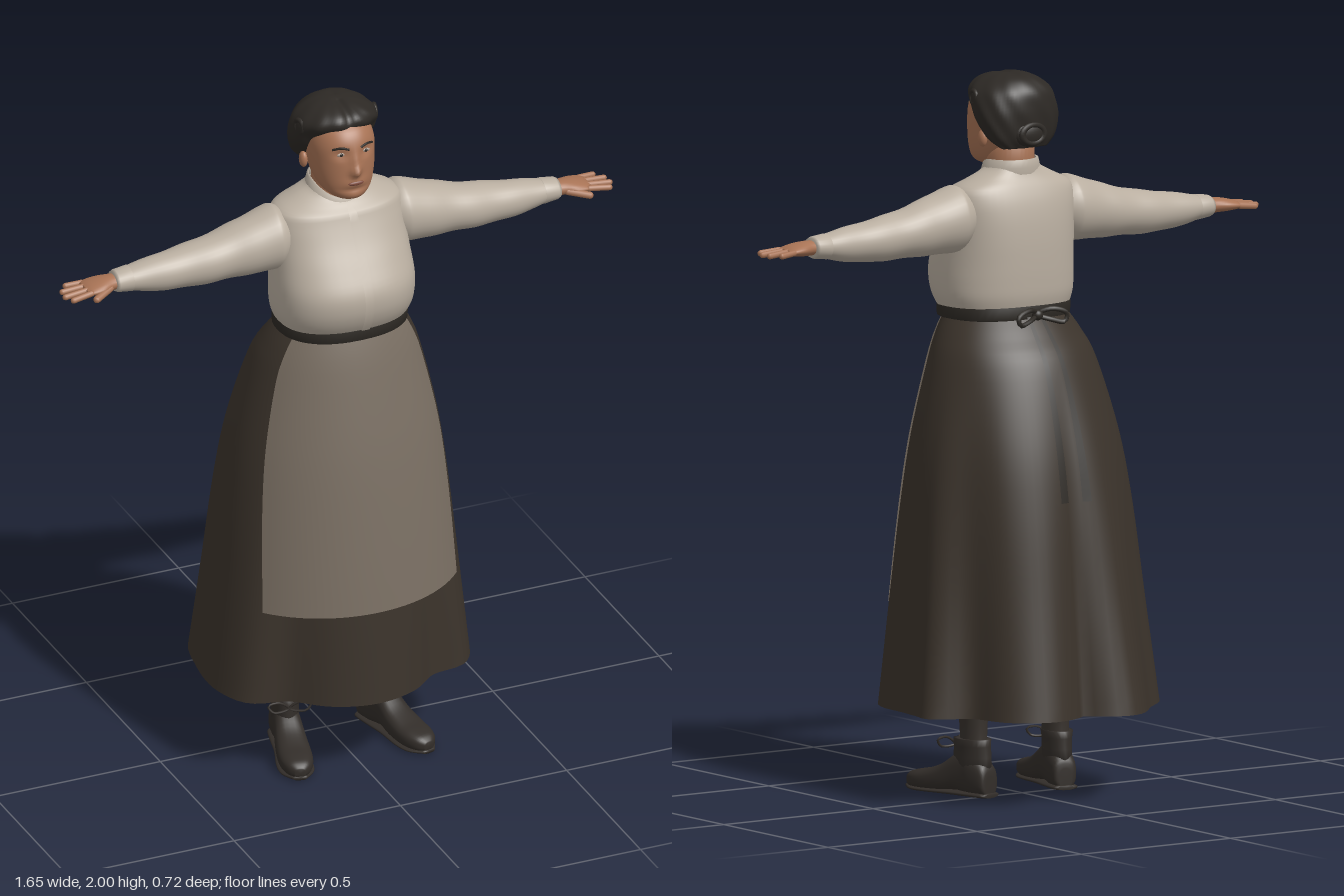
import * as THREE from 'three';

const { sin, cos, abs, sign, PI, exp, max, min } = Math;
const V = (x, y, z) => new THREE.Vector3(x, y, z);
const mat = (name, color, double) => {
  const m = new THREE.MeshStandardMaterial({ color, side: double ? THREE.DoubleSide : THREE.FrontSide });
  m.name = name;
  return m;
};
const bump = (d, w) => exp(-(d * d) / (w * w));
const pw = (s, n) => sign(s) * abs(s) ** (2 / n);

// Catmull-Rom subdivision of a list of number rows
function smooth(rows, k = 4) {
  const out = [], at = i => rows[max(0, min(rows.length - 1, i))];
  for (let i = 0; i < rows.length - 1; i++)
    for (let j = 0; j < k; j++) {
      const t = j / k;
      out.push(rows[i].map((b, c) => {
        const a = at(i - 1)[c], d = at(i + 1)[c], e = at(i + 2)[c];
        return b + 0.5 * t * (d - a + t * (2 * a - 5 * b + 4 * d - e + t * (3 * (b - d) + e - a)));
      }));
    }
  out.push(rows[rows.length - 1]);
  return out;
}
// linear lookup by the first column
function rowAt(rows, y) {
  let i = 0;
  while (i < rows.length - 2 && rows[i + 1][0] < y) i++;
  const a = rows[i], b = rows[i + 1], t = max(0, min(1, (y - a[0]) / (b[0] - a[0])));
  return a.map((v, c) => v + (b[c] - v) * t);
}
// surface through rows of points
function grid(rows, closed, caps) {
  const n = rows[0].length, pts = rows.flat(), idx = [];
  for (let j = 0; j < rows.length - 1; j++)
    for (let i = 0; i < (closed ? n : n - 1); i++) {
      const a = j * n + i, b = j * n + (i + 1) % n;
      idx.push(a, b, b + n, a, b + n, a + n);
    }
  if (caps) [0, rows.length - 1].forEach((j, e) => {
    const c = pts.length, mid = V(0, 0, 0);
    rows[j].forEach(p => mid.addScaledVector(p, 1 / n));
    pts.push(mid);
    for (let i = 0; i < n; i++) {
      const a = j * n + i, b = j * n + (i + 1) % n;
      e ? idx.push(a, b, c) : idx.push(b, a, c);
    }
  });
  const g = new THREE.BufferGeometry().setFromPoints(pts);
  g.setIndex(idx);
  g.computeVertexNormals();
  return g;
}
const loft = (rows, place, n = 32, caps = true) =>
  grid(rows.map(r => Array.from({ length: n }, (_, i) => place(r, i / n * 2 * PI))), true, caps);
const strip = (y0, y1, aMin, aMax, place, nv = 24, nu = 24) =>
  grid(Array.from({ length: nv + 1 }, (_, j) => {
    const y = y0 + (y1 - y0) * j / nv, a = aMin(y), b = aMax(y);
    return Array.from({ length: nu + 1 }, (_, i) => place(y, a + (b - a) * i / nu));
  }), false, false);
// section rules: upright [y, halfWidth, zFront, zBack], sideways [x, ry, rz, cy, cz], lengthwise [z, halfWidth, bottom, top]
const upright = (r, a, n = 2) => V(r[1] * pw(sin(a), n), r[0], (r[2] + r[3]) / 2 + (r[2] - r[3]) / 2 * pw(cos(a), n));
const sideways = (r, a) => V(r[0], r[3] + r[1] * cos(a), r[4] + r[2] * sin(a));
const lengthwise = (r, a) => V(r[1] * pw(cos(a), 2.6), (r[2] + r[3]) / 2 + (r[3] - r[2]) / 2 * pw(sin(a), 2.6), r[0]);
const ball = (x, y, z, rx, ry, rz) => new THREE.SphereGeometry(1, 24, 16).scale(rx, ry, rz).translate(x, y, z);
const tube = (pts, r, closed = false, n = 20) =>
  new THREE.TubeGeometry(new THREE.CatmullRomCurve3(pts.map(p => V(...p)), closed), n, r, 6, closed);
function mirror(geo) {
  const g = geo.clone().scale(-1, 1, 1), ix = g.index.array;
  for (let i = 0; i < ix.length; i += 3) [ix[i], ix[i + 1]] = [ix[i + 1], ix[i]];
  return g;
}

export function createModel() {
  const root = new THREE.Group();
  root.name = 'womanInApron';
  const skin = mat('skin', 0xa87355), lip = mat('lips', 0x7d4a3c), white = mat('eyeWhite', 0xa8978a);
  const hair = mat('hair', 0x2d2925), blouse = mat('blouse', 0xb9aea0, true), apron = mat('apron', 0x7a6f63, true);
  const cloth = mat('skirt', 0x3b332b, true), belt = mat('belt', 0x2d2924, true);
  const leather = mat('shoeLeather', 0x322d29), stocking = mat('stocking', 0x38322d);
  const add = (name, geo, m) => {
    const mesh = new THREE.Mesh(geo, m);
    mesh.name = name;
    root.add(mesh);
  };
  const pair = (name, geo, m) => {
    add(name + 'Left', geo, m);
    add(name + 'Right', mirror(geo), m);
  };

  // skirt: ellipse at the waist that breaks into folds at the hem [angle, radius factor]
  const folds = [[-3.14, .82], [-2.84, 1.05], [-2.44, .965], [-2.09, .99], [-1.68, .96], [-1.21, 1.02], [-.945, 1.025],
    [-.69, .89], [-.33, .96], [0, .995], [.33, .96], [.61, .9], [.85, 1.03], [1.1, 1.02], [1.4, .95], [1.65, .965],
    [1.85, 1.01], [2.14, .84], [2.49, .99], [2.82, 1], [3.14, .82]];
  const foldCurve = smooth(folds, 5);
  const skirtRows = smooth([[.25, .392, .362, -.362], [.53, .36, .342, -.315], [.8, .33, .315, -.27], [1, .298, .29, -.225],
    [1.2, .245, .255, -.155], [1.28, .212, .238, -.1], [1.335, .178, .222, -.055]], 5);
  const skirtPoint = (r, a, out = 1, fold = true) => {
    const wrapped = a > PI ? a - 2 * PI : a, w = max(0, min(1, (1.2 - r[0]) / .95));
    const f = out * (fold ? 1 + (rowAt(foldCurve, wrapped)[1] - 1) * w : 1), p = upright(r, a), cz = (r[2] + r[3]) / 2;
    return V(p.x * f, p.y, cz + (p.z - cz) * f);
  };
  add('skirt', loft(skirtRows, (r, a) => skirtPoint(r, a), 96, false), cloth);

  // apron panel hanging over the front
  const apronEdge = y => .9 + .2 * (y - .53) / .8;
  add('apron', strip(.53, 1.335, y => -apronEdge(y), apronEdge,
    (y, a) => skirtPoint(rowAt(skirtRows, y), a, 1.035 - .018 * (y - .53) / .8, false)), apron);

  // waistband, bow and long ties at the back
  add('waistband', loft([[1.322, .18, .232, -.055], [1.326, .188, .24, -.062], [1.358, .188, .243, -.064], [1.364, .18, .235, -.056]],
    (r, a) => upright(r, a, 2.3), 48, false), belt);
  for (const s of [-1, 1]) {
    const mid = PI + s * .11;
    add('apronTie', strip(.84, 1.335, y => mid - .03 - .02 * (1.335 - y), y => mid + .03 + .02 * (1.335 - y),
      (y, a) => skirtPoint(rowAt(skirtRows, y), a, 1.035), 24, 2), belt);
  }
  pair('bowLoop', tube([[0, 1.34, -.07], [.035, 1.355, -.09], [.08, 1.34, -.1], [.075, 1.318, -.1], [.035, 1.325, -.09]], .007, true), belt);
  add('bowKnot', ball(0, 1.338, -.075, .016, .015, .014), belt);

  // blouse body, collar and front placket
  const bodyRows = smooth([[1.345, .183, .232, -.055], [1.385, .197, .257, -.065], [1.43, .201, .271, -.068], [1.48, .2, .268, -.069],
    [1.54, .196, .236, -.068], [1.6, .194, .2, -.063], [1.65, .193, .174, -.053], [1.688, .182, .157, -.038],
    [1.715, .13, .145, -.022], [1.735, .09, .137, -.014], [1.75, .076, .13, -.012]], 4);
  const bodyPoint = (r, a, out = 0) => {
    const p = upright(r, a, 2.35);
    p.y -= max(0, p.y - 1.68) * .6 * max(0, cos(a));
    p.z += out;
    return p;
  };
  add('blouseBody', loft(bodyRows, (r, a) => bodyPoint(r, a), 48, false), blouse);
  add('placket', strip(1.36, 1.74, () => -.015, () => .07, (y, a) => bodyPoint(rowAt(bodyRows, y), a, .007), 24, 3), blouse);
  add('collar', loft([[1.722, .088, .14, -.02], [1.74, .084, .136, -.021], [1.762, .078, .13, -.018], [1.762, .072, .124, -.012]],
    (r, a) => { const p = upright(r, a); p.y -= .045 * max(0, cos(a)) ** 1.5; return p; }, 32, false), blouse);

  // sleeves with soft wrinkles, and cuffs
  const sleeveRows = smooth([[.155, .07, .07, 1.61, .06], [.183, .09, .084, 1.607, .06], [.21, .091, .086, 1.603, .06], [.3, .076, .076, 1.588, .06],
    [.4, .064, .067, 1.574, .06], [.5, .055, .056, 1.567, .059], [.58, .043, .046, 1.566, .059], [.625, .034, .039, 1.567, .058]], 6);
  pair('sleeve', loft(sleeveRows, (r, a) => {
    const k = 1 + .022 * sin(r[0] * 48 + 1.6 * sin(a)) * max(0, min(1, (r[0] - .2) * 10));
    return sideways([r[0], r[1] * k, r[2] * k, r[3], r[4]], a);
  }), blouse);
  pair('cuff', loft([[.615, .03, .034, 1.567, .058], [.62, .036, .041, 1.567, .058], [.66, .031, .037, 1.567, .058], [.668, .027, .033, 1.567, .058]],
    sideways, 28), blouse);

  // hands: palm, four fingers and a forward thumb
  pair('palm', loft(smooth([[.65, .02, .027, 1.567, .058], [.68, .021, .031, 1.567, .059], [.71, .019, .042, 1.566, .06],
    [.74, .014, .043, 1.564, .059], [.757, .008, .038, 1.562, .058]]), sideways, 24), skin);
  [[.024, .045, -.16], [.048, .066, -.05], [.072, .07, .04], [.094, .058, .14]].forEach(([z, len, spread]) => {
    const g = new THREE.CapsuleGeometry(.0088, len, 4, 8).rotateZ(-PI / 2 - .09).translate(len / 2, 0, 0)
      .rotateY(-spread).translate(.748, 1.561, z);
    pair('finger', g, skin);
  });
  pair('thumb', new THREE.CapsuleGeometry(.0105, .06, 4, 8).rotateZ(-PI / 2 - .15).rotateY(-.5).translate(.715, 1.558, .1), skin);

  // neck and head with nose, sockets and mouth shaped by rule
  add('neck', loft([[1.66, .078, .13, -.015], [1.71, .069, .124, -.01], [1.76, .066, .125, -.01], [1.83, .068, .13, -.01]], upright), skin);
  const headRows = smooth([[1.738, .03, .17, .09], [1.745, .05, .188, .06], [1.765, .07, .197, .03], [1.8, .084, .198, 0], [1.85, .091, .197, -.02],
    [1.9, .091, .193, -.03], [1.94, .078, .172, -.03], [1.968, .05, .13, -.01]], 6);
  add('head', loft(headRows, (r, a) => {
    const p = upright(r, a, 2.2);
    if (cos(a) > 0) {
      const nose = .022 * bump(p.x, .014) * bump(p.y - 1.833, .016) + .01 * bump(p.x, .011) * bump(p.y - 1.86, .024);
      const socket = .009 * bump(abs(p.x) - .037, .02) * bump(p.y - 1.884, .014);
      const mouth = .006 * bump(p.x, .03) * bump(p.y - 1.797, .014);
      p.z += nose - socket + mouth + .004 * bump(p.x, .025) * bump(p.y - 1.755, .014) - .004 * bump(p.x, .04) * bump(p.y - 1.776, .007);
    }
    return p;
  }, 80), skin);
  pair('ear', ball(.094, 1.822, .055, .012, .024, .016), skin);
  pair('eyeWhite', ball(.037, 1.884, .182, .0125, .0055, .004), white);
  pair('iris', ball(.037, 1.884, .1845, .005, .005, .003), hair);
  pair('eyebrow', tube([[.017, 1.901, .193], [.038, 1.907, .188], [.06, 1.9, .174]], .0032), hair);
  add('lips', ball(0, 1.797, .201, .023, .0065, .0055), lip);

  // hair: centre-parted rolls gathered to a low bun
  add('hair', loft(smooth([[1.798, .075, .015, -.035], [1.825, .104, .06, -.047], [1.87, .122, .1, -.053], [1.91, .124, .128, -.054],
    [1.95, .114, .163, -.048], [1.978, .085, .156, -.026], [1.994, .052, .12, .005], [2, .018, .075, .045]], 5), (r, a) => {
    const p = upright(r, a, 2.2), k = 1 + .014 * sin(a * 11 + r[0] * 60);
    const part = bump(p.x, .012) * max(0, min(1, (r[0] - 1.9) * 14)) * max(0, min(1, p.z * 12));
    return V(p.x * k, p.y - .007 * part, .05 + (p.z - .05) * k - .006 * part);
  }, 72), hair);
  add('bun', ball(0, 1.838, -.04, .052, .037, .022), hair);
  add('bunCoil', new THREE.TorusGeometry(.03, .009, 8, 24).scale(1.2, .85, 1).translate(0, 1.838, -.053), hair);
  pair('sideCurl', new THREE.TorusGeometry(.018, .007, 8, 20).rotateY(PI / 2 - .2).translate(.112, 1.935, .07), hair);

  // legs and laced ankle boots turned outwards
  pair('leg', loft(smooth([[.1, .034, .075, -.01], [.18, .034, .082, -.008], [.3, .042, .09, -.018], [.42, .055, .1, -.028],
    [.55, .056, .105, -.005], [.75, .075, .13, -.02], [.95, .085, .15, -.03]]), upright, 24).translate(.137, 0, 0), stocking);
  const foot = g => g.rotateY(.23).translate(.133, 0, 0);
  pair('shoe', foot(loft(smooth([[-.03, .018, .004, .06], [-.022, .034, .002, .09], [.02, .039, .002, .12], [.05, .038, .006, .13],
    [.085, .04, .012, .115], [.13, .045, .004, .085], [.18, .048, .002, .066], [.22, .045, .003, .058], [.25, .033, .006, .05],
    [.267, .014, .012, .036]]), lengthwise, 28)), leather);
  pair('shoeShaft', foot(loft([[.06, .038, .1, -.028], [.11, .038, .098, -.025], [.14, .039, .095, -.022], [.16, .042, .096, -.022], [.16, .035, .085, -.012]],
    upright, 24)), leather);
  pair('shoeSole', foot(loft(smooth([[-.034, .022, 0, .012], [-.022, .038, 0, .014], [.04, .041, 0, .014], [.1, .042, 0, .014],
    [.18, .051, 0, .013], [.23, .045, 0, .013], [.268, .018, .003, .014]]), lengthwise, 24)), leather);
  for (const s of [-1, 1])
    pair('laceLoop', foot(tube([[0, .138, .1], [s * .03, .16, .105], [s * .06, .155, .11], [s * .045, .135, .112]], .0035, true, 16)), leather);
  return root;
}
